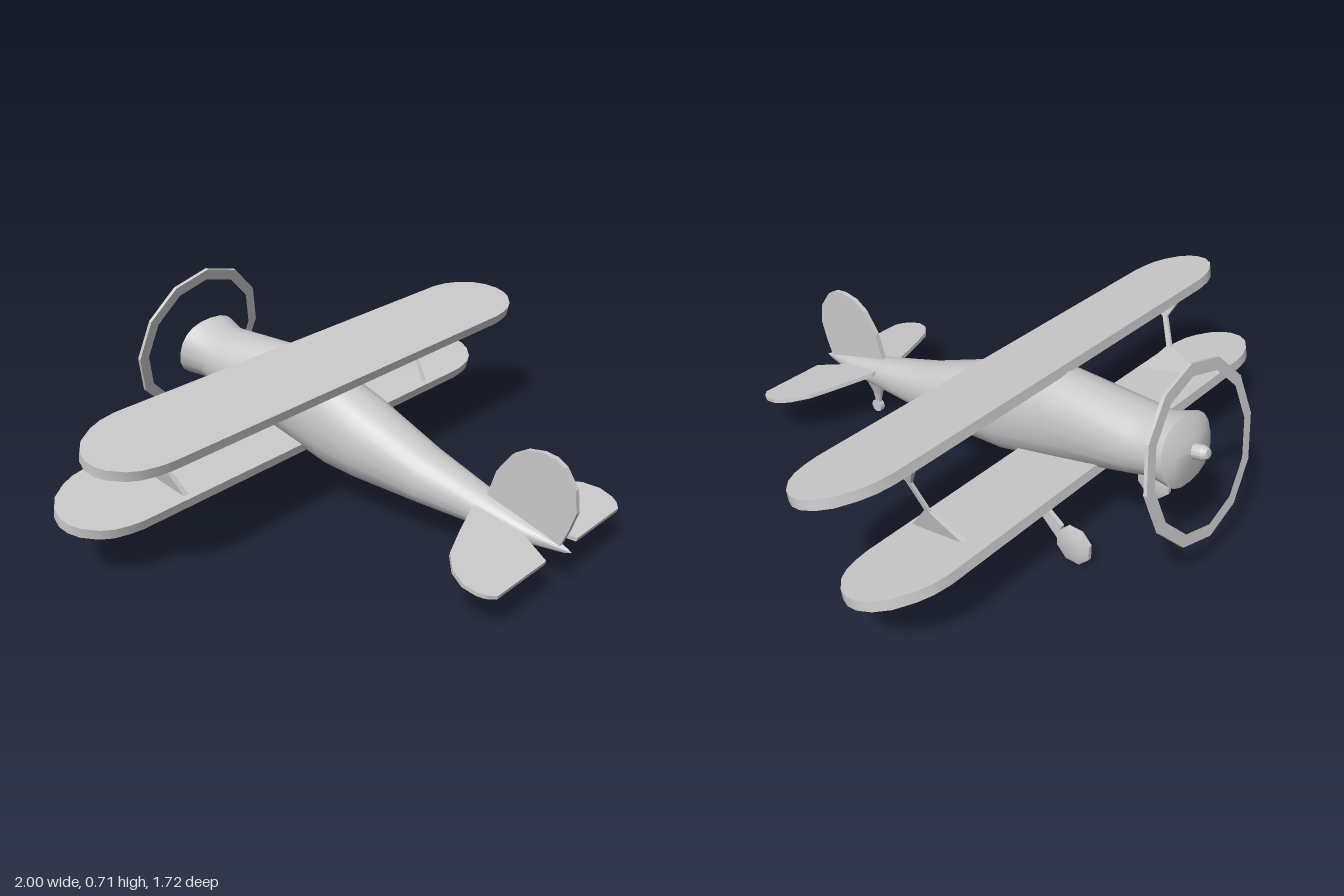
import * as THREE from 'three';
import { toCreasedNormals } from 'three/addons/utils/BufferGeometryUtils.js';

const PITCH = 0.215; // nose-up attitude of the whole aircraft
const grey = new THREE.MeshStandardMaterial({ color: 0xcccccc });

function part(name, geometry, parent) {
  const mesh = new THREE.Mesh(geometry, grey);
  mesh.name = name;
  parent.add(mesh);
  return mesh;
}

// Flat plate of given thickness from an outline, centred on its own plane
function plate(points, thickness) {
  const shape = new THREE.Shape(points.map(([a, b]) => new THREE.Vector2(a, b)));
  return new THREE.ExtrudeGeometry(shape, { depth: thickness, bevelEnabled: false })
    .translate(0, 0, -thickness / 2);
}
const flat = (points, t) => plate(points, t).rotateX(Math.PI / 2);     // outline in (x, z)
const upright = (points, t) => plate(points, t).rotateY(-Math.PI / 2); // outline in (z, y)

// Turned part from a profile of [radius, height], listed from bottom to top
const turned = (profile, sides) =>
  toCreasedNormals(new THREE.LatheGeometry(profile.map(([r, h]) => new THREE.Vector2(r, h)), sides), 0.6);

// Loft of rounded sections: [topZ, topY, bottomZ, bottomY, halfWidth]
function loft(stations, sides = 20, power = 0.85) {
  const pos = [], index = [];
  const bulge = (v) => Math.sign(v) * Math.abs(v) ** power;
  for (const [tz, ty, bz, by, w] of stations) {
    for (let i = 0; i < sides; i++) {
      const a = (i / sides) * Math.PI * 2;
      const k = (1 + bulge(Math.cos(a))) / 2;
      pos.push(w * bulge(Math.sin(a)), by + (ty - by) * k, bz + (tz - bz) * k);
    }
  }
  for (let s = 0; s < stations.length - 1; s++) {
    for (let i = 0; i < sides; i++) {
      const a = s * sides + i, b = s * sides + (i + 1) % sides;
      index.push(a, a + sides, b, b, a + sides, b + sides);
    }
  }
  const g = new THREE.BufferGeometry();
  g.setAttribute('position', new THREE.Float32BufferAttribute(pos, 3));
  g.setIndex(index);
  return toCreasedNormals(g, 0.6);
}

// Wing with rounded tips, symmetrical about x = 0
function wing(name, span, chord, y, z, pitch, parent) {
  const tip = [[0.78, -0.5], [0.84, -0.47], [0.89, -0.41], [0.95, -0.29], [0.985, -0.15], [1, 0],
    [0.997, 0.12], [0.98, 0.24], [0.94, 0.37], [0.9, 0.44], [0.85, 0.48], [0.8, 0.5]];
  const right = tip.map(([x, c]) => [x * span, c * chord]);
  const left = right.map(([x, c]) => [-x, c]).reverse();
  const mesh = part(name, toCreasedNormals(flat([...right, ...left], 0.034), 0.6), parent);
  mesh.position.set(0, y, z);
  mesh.rotation.x = pitch;
}

export function createModel() {
  const model = new THREE.Group();
  model.name = 'biplane';

  // Fuselage with flared engine cowl, nose towards -z
  part('fuselage', loft([
    [-0.775, 0.421, -0.775, 0.419, 0.001],
    [-0.755, 0.47, -0.768, 0.335, 0.095],
    [-0.72, 0.52, -0.765, 0.305, 0.135],
    [-0.645, 0.493, -0.675, 0.306, 0.116],
    [-0.58, 0.495, -0.6, 0.285, 0.122],
    [-0.27, 0.512, -0.3, 0.194, 0.122],
    [-0.1, 0.47, -0.08, 0.14, 0.122],
    [0.05, 0.415, 0.05, 0.135, 0.12],
    [0.31, 0.312, 0.31, 0.132, 0.092],
    [0.52, 0.25, 0.52, 0.13, 0.063],
    [0.7, 0.2, 0.7, 0.133, 0.044],
    [0.84, 0.158, 0.83, 0.14, 0.006],
    [0.855, 0.15, 0.855, 0.148, 0.001],
  ]), model);

  // Propeller ring and hub share the tilted nose axis
  const propeller = new THREE.Group();
  propeller.name = 'propeller';
  propeller.position.set(0, 0.424, -0.788);
  propeller.rotation.x = PITCH;
  model.add(propeller);
  const circle = (r) => Array.from({ length: 12 }, (_, i) =>
    new THREE.Vector2(Math.sin(i * Math.PI / 6) * r, Math.cos(i * Math.PI / 6) * r));
  const annulus = new THREE.Shape(circle(0.288));
  annulus.holes.push(new THREE.Path(circle(0.248)));
  part('propellerRing', new THREE.ExtrudeGeometry(annulus, { depth: 0.012, bevelEnabled: false })
    .translate(0, 0, -0.006), propeller);
  part('propellerHub', turned([[0.024, -0.04], [0.024, 0.015], [0.016, 0.03], [0, 0.034]], 12)
    .rotateX(-Math.PI / 2), propeller);

  // Staggered wings
  wing('upperWing', 1, 0.294, 0.492, -0.148, 0.208, model);
  wing('lowerWing', 0.987, 0.316, 0.232, -0.33, 0.22, model);

  // Tail fin
  part('tailFin', upright([[0.545, 0.2], [0.545, 0.24], [0.576, 0.336], [0.63, 0.41], [0.68, 0.44],
    [0.737, 0.45], [0.78, 0.445], [0.815, 0.425], [0.857, 0.364], [0.866, 0.29],
    [0.843, 0.22], [0.812, 0.148]], 0.018), model);

  for (const side of [1, -1]) {
    const label = side > 0 ? 'left' : 'right';

    // Tailplane half
    const tail = part(label + 'Tailplane', flat([[0.02, -0.148], [0.075, -0.148], [0.19, -0.105],
      [0.3, -0.058], [0.355, -0.005], [0.378, 0.05], [0.373, 0.1], [0.36, 0.125], [0.335, 0.147],
      [0.087, 0.147], [0.045, 0.04], [0.02, 0.02]].map(([x, z]) => [x * side, z]), 0.014), model);
    tail.position.set(0, 0.176, 0.678);
    tail.rotation.x = 0.235;

    // Hourglass strut, thinner at the waist, leaning outwards between the wings
    const strut = upright([[-0.19, 0.22], [-0.405, 0.262], [-0.285, 0.322], [-0.24, 0.42],
      [-0.28, 0.505], [-0.12, 0.472], [-0.222, 0.42], [-0.265, 0.322]], 0.022);
    const p = strut.attributes.position;
    for (let i = 0; i < p.count; i++) {
      const waist = Math.abs(p.getY(i) - 0.37) < 0.06 ? 0.5 : 1;
      p.setX(i, p.getX(i) * waist + side * (0.61 + 0.28 * (p.getY(i) - 0.235)));
    }
    strut.computeVertexNormals();
    part(label + 'WingStrut', strut, model);

    // Main landing gear: tapering leg and octagonal wheel with bevelled rim
    const leg = part(label + 'GearLeg', upright([[-0.28, 0.215], [-0.315, 0.215],
      [-0.46, 0.115], [-0.45, 0.06]], 0.016), model);
    leg.position.x = 0.225 * side;
    const wheel = part(label + 'Wheel', turned([[0, -0.016], [0.042, -0.015], [0.067, -0.007],
      [0.067, 0.007], [0.042, 0.015], [0, 0.016]], 8)
      .rotateY(Math.PI / 8).rotateZ(Math.PI / 2), model);
    wheel.position.set(0.225 * side, 0.064, -0.507);
  }

  // Tail wheel on a flared fairing
  part('tailWheelStrut', turned([[0.01, 0.03], [0.014, 0.05], [0.022, 0.085], [0.042, 0.12],
    [0.055, 0.15]], 10).scale(0.7, 1, 1).translate(0, 0, 0.588), model);
  part('tailWheel', new THREE.CylinderGeometry(0.024, 0.024, 0.02, 8)
    .rotateZ(Math.PI / 2).translate(0, 0.024, 0.59), model);

  return model;
}
